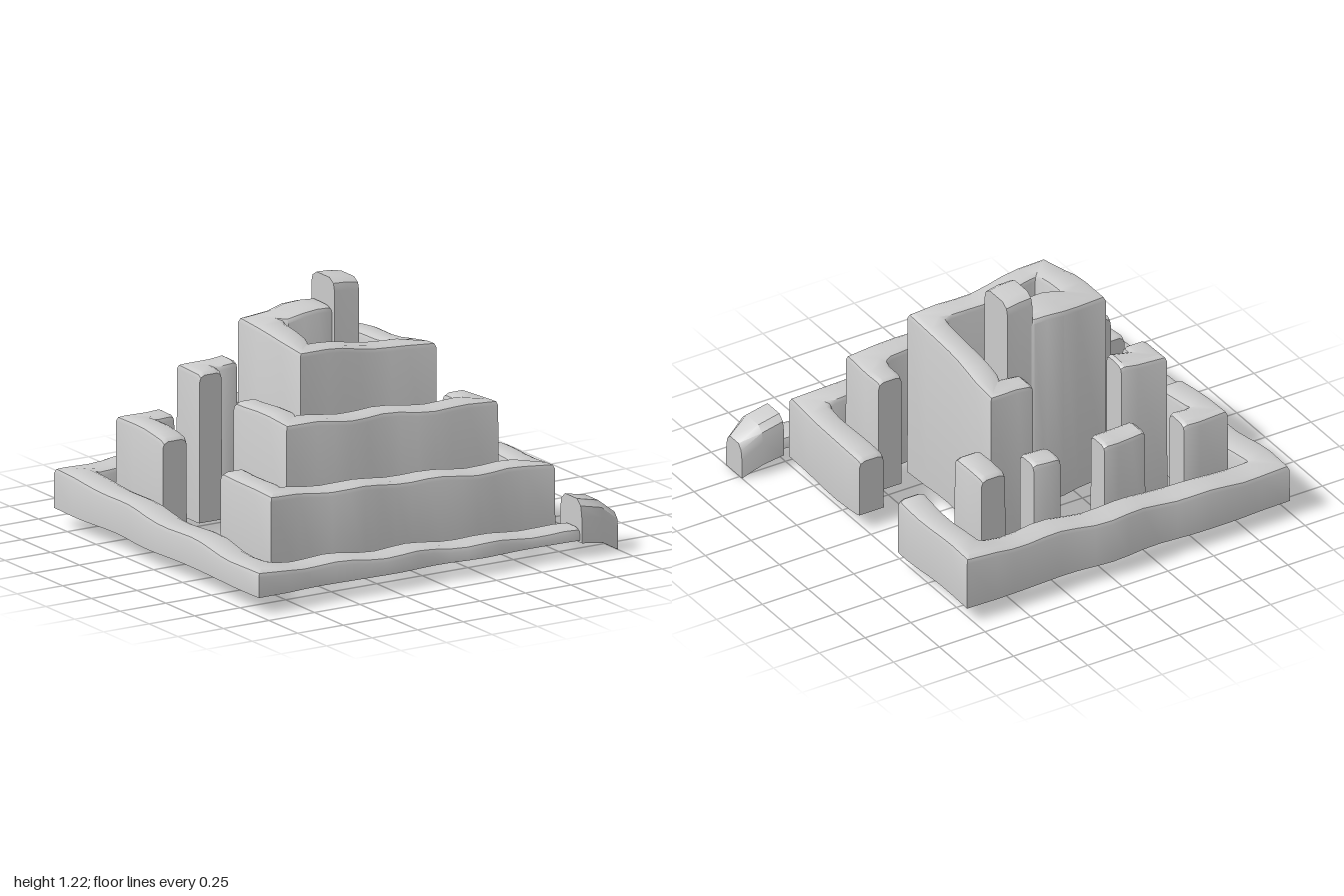
import * as THREE from 'three';
import { mergeVertices, toCreasedNormals } from 'three/addons/utils/BufferGeometryUtils.js';

const BASE = 0.08;
const material = new THREE.MeshStandardMaterial({ color: 0xcccccc, side: THREE.DoubleSide });

// Upright wall section: flat base, slightly battered sides, rounded top
function section(half, base, top, round) {
  const right = [
    [half, base], [half * 0.98, top - round], [half * 0.88, top - round * 0.4],
    [half * 0.55, top - round * 0.05],
  ];
  return [...right, ...right.slice().reverse().map(([s, y]) => [-s, y])];
}

// Skin a closed solid over consecutive rings
function loft(rings) {
  const n = rings[0].length, last = (rings.length - 1) * n, index = [];
  for (let i = 0; i < rings.length - 1; i++) {
    for (let j = 0; j < n; j++) {
      const a = i * n + j, b = i * n + (j + 1) % n;
      index.push(a, a + n, b, b, a + n, b + n);
    }
  }
  for (let j = 1; j < n - 1; j++) {
    index.push(0, j, j + 1, last, last + j + 1, last + j);
  }
  const geometry = new THREE.BufferGeometry();
  geometry.setAttribute('position', new THREE.Float32BufferAttribute(rings.flat(2), 3));
  geometry.setIndex(index);
  return toCreasedNormals(mergeVertices(geometry), 0.6);
}

// Wall along mitred points [x, z, top, width, base]
function wall(name, points, { round = 0.03, rough = 1, step = 0.09 } = {}) {
  const dirs = points.slice(1).map((p, i) =>
    new THREE.Vector2(p[0] - points[i][0], p[1] - points[i][1]).normalize());
  // Sideways mitre vector at every path point
  const sides = points.map((p, i) => {
    const a = dirs[Math.max(i - 1, 0)], b = dirs[Math.min(i, dirs.length - 1)];
    const m = new THREE.Vector2(-a.y - b.y, a.x + b.x).normalize();
    return m.divideScalar(m.x * -a.y + m.y * a.x);
  });
  const rings = [];
  const addRing = (i, t, shrink) => {
    const p = points[i], q = points[i + 1];
    const mix = (k, d) => THREE.MathUtils.lerp(p[k] ?? d, q[k] ?? d, t);
    const corner = t === 0 || t === 1;
    const side = corner ? sides[t === 0 ? i : i + 1]
      : new THREE.Vector2(-dirs[i].y, dirs[i].x);
    const x = mix(0), z = mix(1);
    // Weathered drift of the line, thickness and crest
    const dx = rough * 0.009 * Math.sin(z * 9 - 1.2);
    const dz = rough * -0.008 * Math.cos(x * 11);
    const width = mix(3, 0.14) * (1 + rough * 0.04 * Math.sin(x * 17 + z * 13)) * shrink;
    const top = mix(2) + rough * 0.007 * Math.sin(x * 15 - z * 12) - (1 - shrink) * 0.2;
    rings.push(section(width / 2, mix(4, BASE), top, round)
      .map(([s, y]) => [x + dx + side.x * s, y, z + dz + side.y * s]));
  };
  for (let i = 0; i < dirs.length; i++) {
    const length = Math.hypot(points[i + 1][0] - points[i][0], points[i + 1][1] - points[i][1]);
    const count = Math.max(1, Math.round(length / step));
    const first = i === 0, final = i === dirs.length - 1;
    // Softened wall ends
    if (first) addRing(i, 0, 1 - 0.06 * rough);
    if (first && rough) addRing(i, 0.018 / length, 1);
    for (let k = 1; k < count; k++) addRing(i, k / count, 1);
    if (final && rough) addRing(i, 1 - 0.018 / length, 1);
    addRing(i, 1, final ? 1 - 0.06 * rough : 1);
  }
  const mesh = new THREE.Mesh(loft(rings), material);
  mesh.name = name;
  return mesh;
}

export function createModel() {
  const group = new THREE.Group();
  group.name = 'spiralRuin';

  group.add(
    // Ramp block where the spiral begins
    wall('startBlock', [
      [1, 0.8, 0.18, 0.14, 0], [0.9, 0.8, 0.255, 0.19, 0.055], [0.785, 0.8, 0.28, 0.19, 0.07],
    ], { round: 0.08, rough: 0, step: 1 }),

    // Outer circuit
    wall('outerWall', [
      [0.8, 0.805, 0.135, 0.145], [-0.905, 0.805, 0.2, 0.155], [-0.905, -0.82, 0.275, 0.155],
      [0.715, -0.82, 0.345], [0.715, -0.3, 0.365],
    ]),

    // Second circuit and its broken remains
    wall('secondWall', [
      [0.715, 0.06, 0.385], [0.715, 0.6, 0.41], [-0.7, 0.6, 0.48], [-0.7, 0.2, 0.49],
    ]),
    wall('secondCornerStub', [
      [-0.7, -0.3, 0.52], [-0.7, -0.62, 0.545], [-0.53, -0.615, 0.55],
    ]),
    wall('backPillarWide', [[-0.33, -0.615, 0.56, 0.13], [-0.1, -0.615, 0.57, 0.13]]),
    wall('backPillarNarrow', [[0.14, -0.615, 0.58, 0.13], [0.28, -0.615, 0.59, 0.13]]),
    wall('backPillarCorner', [[0.52, -0.685, 0.615], [0.52, -0.475, 0.625]]),

    // Third circuit and its broken corner
    wall('thirdWall', [
      [0.52, 0.2, 0.685], [0.52, 0.4, 0.69], [-0.5, 0.4, 0.745], [-0.5, 0.02, 0.76],
    ]),
    wall('thirdCornerStub', [
      [-0.5, -0.3, 0.8, 0.13], [-0.5, -0.425, 0.815], [-0.33, -0.42, 0.825],
    ]),

    // Inner circuit winding up to the core
    wall('innerWall', [
      [0.15, -0.415, 0.87, 0.13], [0.315, -0.415, 0.885, 0.13], [0.315, 0.19, 0.95, 0.13],
      [-0.3, 0.19, 1.02, 0.13], [-0.295, -0.18, 1.075, 0.17], [-0.12, -0.183, 1.09, 0.21],
      [0.05, -0.178, 1.09, 0.2],
    ]),

    // Summit pillar
    wall('summitPillar', [
      [0.04, -0.175, 1.225, 0.205], [0.11, -0.175, 1.222, 0.21], [0.175, -0.175, 1.21, 0.205],
    ], { round: 0.06, rough: 0, step: 1 }),
  );
  return group;
}
